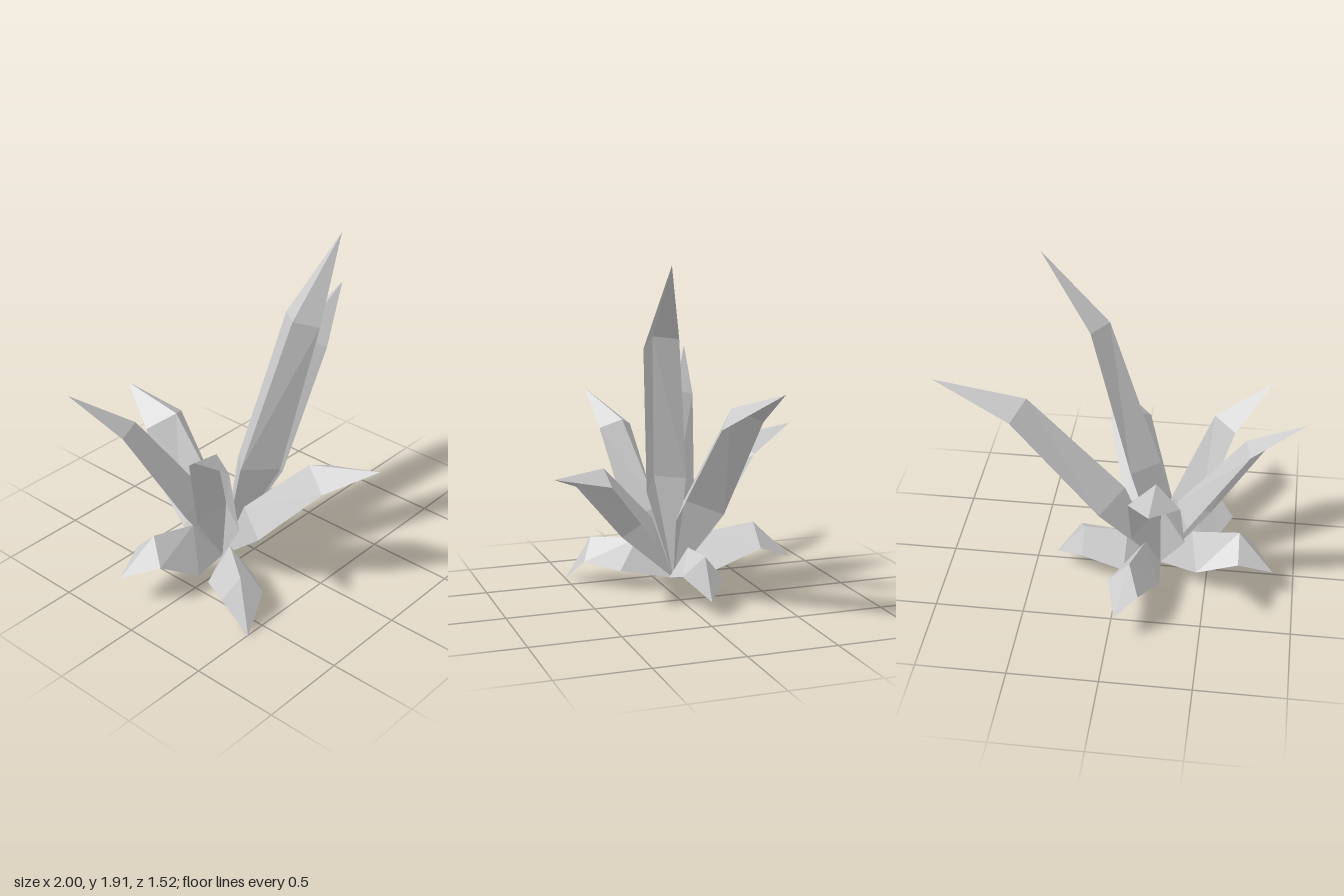
import * as THREE from 'three';

const ROOT = [-0.23, 0.06, -0.04];
const material = new THREE.MeshStandardMaterial({ color: 0xcccccc, flatShading: true, side: THREE.DoubleSide });

// A cross-section is a tent: one edge, the raised midrib, the other edge.
function section([centre, side, ridge]) {
  return [centre.map((c, i) => c - side[i]), ridge, centre.map((c, i) => c + side[i])];
}

// A folded leaf: pointed at the root, two tent sections, pointed tip.
function leaf(name, mid, shoulder, tip) {
  const points = [ROOT, ...section(mid), ...section(shoulder), tip];
  const index = [];
  for (let k = 0; k < 2; k++) {
    const a = 1 + k, b = 2 + k, c = 4 + k, d = 5 + k;
    index.push(0, b, a, a, b, d, a, d, c, c, d, 7);
  }
  const indexed = new THREE.BufferGeometry();
  indexed.setAttribute('position', new THREE.Float32BufferAttribute(points.flat(), 3));
  indexed.setIndex(index);
  const geometry = indexed.toNonIndexed();
  geometry.computeVertexNormals();
  const mesh = new THREE.Mesh(geometry, material);
  mesh.name = name;
  return mesh;
}

export function createModel() {
  const plant = new THREE.Group();
  plant.name = 'plant';

  // Each section is given as: centre between the edges, half-width vector, midrib point
  plant.add(
    // Tall upright leaves
    leaf('tallestLeaf',
      [[-0.03, 0.66, 0.07], [0.025, -0.025, 0.125], [-0.21, 0.68, 0.085]],
      [[0.195, 1.48, 0.175], [0.015, -0.02, 0.105], [0.09, 1.51, 0.19]],
      [0.465, 1.91, 0.21]),
    leaf('tallLeftLeaf',
      [[0.13, 0.5, -0.07], [0.025, 0, 0.15], [-0.02, 0.57, -0.03]],
      [[0.605, 1.09, -0.125], [0.025, -0.01, 0.125], [0.51, 1.17, -0.1]],
      [1.0, 1.31, -0.19]),
    leaf('tallRightLeaf',
      [[-0.45, 0.46, -0.14], [0.06, 0, -0.085], [-0.32, 0.53, -0.08]],
      [[-0.765, 1.045, -0.265], [0.045, 0.005, -0.07], [-0.69, 1.08, -0.22]],
      [-1.0, 1.31, -0.38]),
    leaf('frontRightLeaf',
      [[-0.4, 0.4, 0.09], [0.05, 0, 0.11], [-0.28, 0.48, 0.04]],
      [[-0.58, 0.91, 0.2], [0.04, 0, 0.105], [-0.5, 0.96, 0.18]],
      [-0.81, 1.11, 0.32]),
    leaf('frontLeaf',
      [[-0.13, 0.33, 0.2], [-0.13, -0.01, 0.06], [-0.2, 0.44, 0.1]],
      [[0.01, 0.69, 0.5], [-0.11, -0.015, 0.07], [-0.04, 0.78, 0.43]],
      [0.155, 0.78, 0.76]),
    leaf('backLeaf',
      [[-0.23, 0.36, -0.22], [0.15, 0, 0], [-0.23, 0.5, -0.09]],
      [[-0.23, 0.79, -0.48], [0.14, 0, 0], [-0.23, 0.87, -0.38]],
      [-0.23, 0.93, -0.76]),
    // Low drooping leaves
    leaf('lowFrontLeaf',
      [[-0.41, 0.11, 0.19], [0.11, 0, 0.07], [-0.36, 0.28, 0.14]],
      [[-0.525, 0.15, 0.38], [0.1, 0, 0.06], [-0.53, 0.27, 0.37]],
      [-0.62, 0, 0.505]),
    leaf('lowRightLeaf',
      [[-0.48, 0.13, -0.09], [-0.03, -0.02, 0.13], [-0.41, 0.34, -0.09]],
      [[-0.715, 0.26, -0.14], [-0.03, 0, 0.12], [-0.68, 0.39, -0.13]],
      [-0.88, 0.18, -0.2]),
    leaf('lowBackLeaf',
      [[-0.14, 0.14, -0.27], [0.11, 0, 0.06], [-0.16, 0.34, -0.21]],
      [[-0.07, 0.26, -0.54], [0.09, 0, 0.06], [-0.1, 0.39, -0.48]],
      [-0.04, 0.18, -0.69]),
    leaf('lowLeftLeaf',
      [[-0.01, 0.12, -0.06], [0.02, 0.02, 0.13], [-0.04, 0.29, -0.06]],
      [[0.23, 0.19, -0.05], [0.02, 0.02, 0.125], [0.21, 0.3, -0.07]],
      [0.375, 0.09, -0.05]),
  );
  return plant;
}
